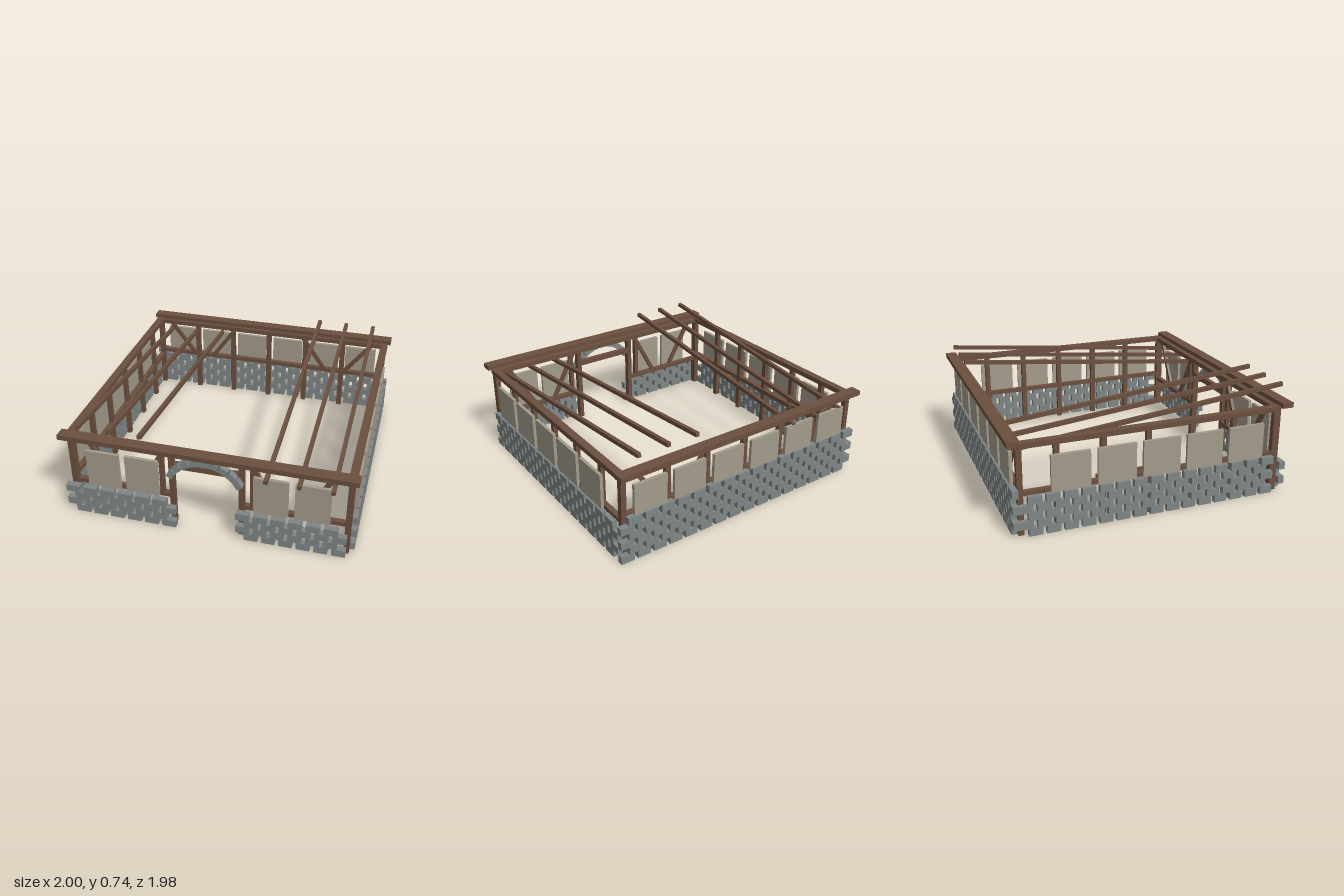
import * as THREE from 'three';

const material = (name, color) => {
  const m = new THREE.MeshStandardMaterial({ color });
  m.name = name;
  return m;
};

export function createModel() {
  const root = new THREE.Group();
  root.name = 'timberFrameHouse';
  const wood = material('brown wood', 0x6b4f3e);
  const stone = material('grey stone', 0x7f8585);
  const plaster = material('beige plaster', 0xa39b8c);
  const unit = new THREE.BoxGeometry(1, 1, 1);

  const group = (name) => {
    const g = new THREE.Group();
    g.name = name;
    root.add(g);
    return g;
  };
  const stones = group('stoneWalls');
  const frame = group('timberFrame');
  const infill = group('plasterPanels');
  const roof = group('rafters');

  // Box given by its lower and upper bounds
  const box = (parent, name, mat, x0, x1, y0, y1, z0, z1) => {
    const m = new THREE.Mesh(unit, mat);
    m.name = name;
    m.scale.set(x1 - x0, y1 - y0, z1 - z0);
    m.position.set((x0 + x1) / 2, (y0 + y1) / 2, (z0 + z1) / 2);
    parent.add(m);
    return m;
  };
  const beam = (name, ...b) => box(frame, name, wood, ...b);

  // Open bond of stones, half a step offset in every second row
  const ROW = 0.0538, GAP = 0.027;
  const stoneWall = (name, alongX, a, b, n, rows, c0, c1) => {
    const pitch = (b - a + GAP) / (n + 0.5);
    for (let r = 0; r < rows; r++) {
      for (let i = 0; i < n; i++) {
        const s = a + (i + (r % 2 ? 0 : 0.5)) * pitch, e = s + pitch - GAP;
        const y = [r * ROW, (r + 1) * ROW];
        if (alongX) box(stones, name, stone, s, e, ...y, c0, c1);
        else box(stones, name, stone, c0, c1, ...y, s, e);
      }
    }
  };
  stoneWall('frontWallStone', true, -1, -0.21, 6, 4, 0.915, 0.96);
  stoneWall('frontWallStone', true, 0.21, 0.95, 6, 4, 0.915, 0.96);
  stoneWall('backWallStone', true, -1, 1, 16, 6, -0.965, -0.925);
  stoneWall('leftWallStone', false, -0.925, 0.865, 15, 5, 0.965, 1);
  stoneWall('rightWallStone', false, -0.925, 0.865, 15, 5, -1, -0.965);

  // Eave beams and wall plates
  beam('frontEaveBeam', -1, 1, 0.61, 0.645, 0.906, 0.987);
  beam('backEaveBeam', -1, 1, 0.61, 0.645, -0.987, -0.91);
  beam('frontWallPlate', -0.965, 0.965, 0.58, 0.615, 0.864, 0.908);
  beam('backWallPlate', -0.965, 0.965, 0.58, 0.615, -0.93, -0.885);

  // Side walls: plates, sills, corner posts, studs and panels
  for (const s of [-1, 1]) {
    const sideX = (a, b) => (s > 0 ? [a, b] : [-b, -a]);
    beam('sideWallPlate', ...sideX(0.925, 0.978), 0.585, 0.62, -0.91, 0.905);
    beam('sideSill', ...sideX(0.93, 0.966), 0.265, 0.295, -0.91, 0.87);
    beam('frontCornerPost', ...sideX(0.93, 0.968), 0, 0.612, 0.864, 0.914);
    beam('backCornerPost', ...sideX(0.93, 0.968), 0, 0.612, -0.926, -0.888);
    for (let i = 0; i < 5; i++) {
      const z = 0.565 - i * 0.308;
      beam('sideStud', ...sideX(0.932, 0.963), 0, 0.59, z - 0.018, z + 0.018);
      const p = 0.65 - i * 0.308;
      box(infill, 'sidePanel', plaster, ...sideX(0.964, 0.986), 0.27, 0.518, p - 0.13, p + 0.13);
    }
  }
  beam('looseRail', -0.925, -0.905, 0.275, 0.31, -0.395, 0.03);

  // Back wall: sill, studs and panels
  beam('backSill', -0.94, 0.94, 0.305, 0.335, -0.925, -0.89);
  for (const x of [-0.62, -0.31, 0, 0.31, 0.62])
    beam('backStud', x - 0.019, x + 0.019, 0, 0.59, -0.924, -0.892);
  for (const x of [-0.765, -0.465, -0.155, 0.155, 0.465, 0.765])
    box(infill, 'backPanel', plaster, x - 0.122, x + 0.122, 0.315, 0.537, -0.95, -0.927);

  // Diagonal brace between two points in a front or back wall
  const brace = (xa, ya, xb, yb, z) => {
    const m = beam('diagonalBrace', -0.015, 0.015, 0, Math.hypot(xb - xa, yb - ya), -0.011, 0.011);
    m.position.set((xa + xb) / 2, (ya + yb) / 2, z);
    m.rotation.z = Math.atan2(xa - xb, yb - ya);
  };

  // Front wall, mirrored about the doorway
  for (const s of [-1, 1]) {
    const sideX = (a, b) => (s > 0 ? [a, b] : [-b, -a]);
    beam('frontSill', ...sideX(0.23, 0.95), 0.218, 0.248, 0.87, 0.906);
    beam('doorPost', ...sideX(0.222, 0.257), 0, 0.6, 0.87, 0.912);
    beam('frontStud', ...sideX(0.296, 0.326), 0.23, 0.59, 0.872, 0.906);
    box(infill, 'frontPanel', plaster, ...sideX(0.325, 0.557), 0.235, 0.516, 0.915, 0.938);
    box(infill, 'frontPanel', plaster, ...sideX(0.6, 0.833), 0.235, 0.516, 0.915, 0.938);
    for (const [z, low] of [[0.88, 0.25], [-0.893, 0.335]]) {
      brace(s * 0.65, low, s * 0.845, 0.585, z);
      brace(s * 0.475, low, s * 0.295, 0.585, z);
    }
  }
  beam('doorLintel', -0.225, 0.225, 0.463, 0.503, 0.872, 0.908);

  // Stone arch over the doorway
  for (let i = -4; i <= 4; i++) {
    const a = i * 0.252;
    const m = box(stones, 'archStone', stone, -0.031, 0.031, 0, 0.044, 0.915, 0.962);
    m.position.x = Math.sin(a) * 0.265;
    m.position.y = 0.31 + Math.cos(a) * 0.265;
    m.rotation.z = -a;
  }

  // Sloping rafters, rising to the back on the left and to the front on the right
  for (const s of [-1, 1]) {
    for (const x of [0.415, 0.63, 0.845]) {
      const m = box(roof, 'rafter', wood, -0.0135, 0.0135, 0, 0.028, -0.972, 0.972);
      m.position.set(s * x, 0.631, 0.02);
      m.rotation.x = s * 0.103;
    }
  }
  return root;
}
